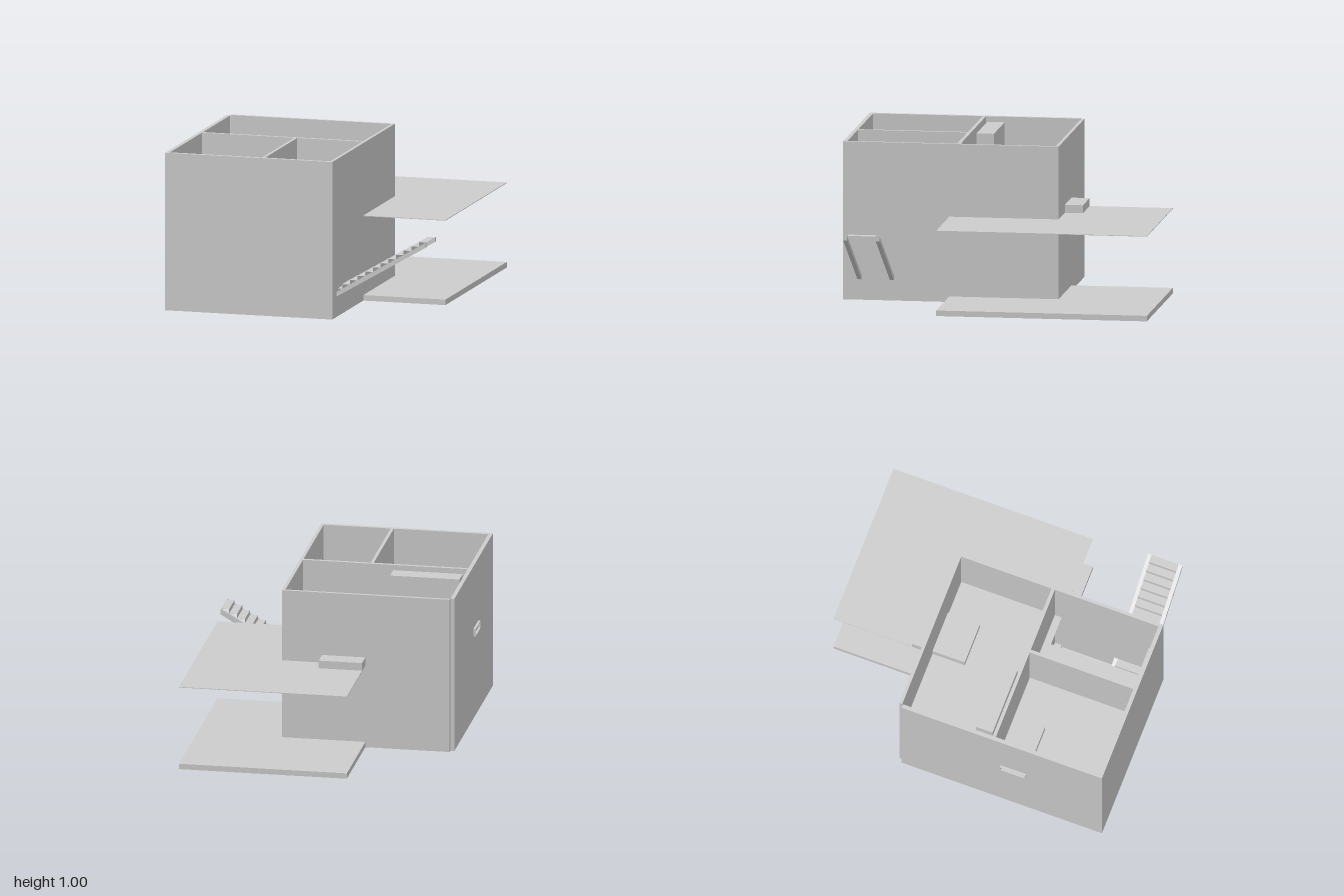
import * as THREE from 'three';

export function createModel() {
  const model = new THREE.Group();
  model.name = 'house';
  const plaster = new THREE.MeshStandardMaterial({ color: 0xcccccc, side: THREE.DoubleSide });
  plaster.name = 'light grey';

  const add = (name, geometry) => {
    const mesh = new THREE.Mesh(geometry, plaster);
    mesh.name = name;
    model.add(mesh);
    return mesh;
  };
  // Box given by its limits on each axis
  const box = (name, x0, x1, y0, y1, z0, z1) =>
    add(name, new THREE.BoxGeometry(x1 - x0, y1 - y0, z1 - z0))
      .position.set((x0 + x1) / 2, (y0 + y1) / 2, (z0 + z1) / 2);

  // Outer walls, leaving a notch in the back left corner
  box('frontWall', -0.83, 0.26, 0, 1, 0.975, 1);
  box('leftWall', -0.83, -0.805, 0, 1, -0.335, 0.975);
  box('backWall', -0.805, 0.26, 0, 1, -0.36, -0.34);
  box('rightWall', 0.24, 0.26, 0, 1, -0.34, 0.975);

  // Inner partitions
  box('crossPartition', -0.805, 0.24, 0, 1, 0.262, 0.284);
  box('frontPartition', -0.205, -0.185, 0, 1, 0.284, 0.975);

  // Ground slab and the terrace above it
  box('groundSlab', -0.27, 0.795, 0, 0.035, -1, 0.33);
  box('terrace', -0.27, 0.795, 0.536, 0.54, -1, 0.33);

  // Upper floor with the stair opening
  const floor = new THREE.Shape([
    [-0.805, -0.34], [-0.27, -0.34], [-0.27, 0.33], [0.05, 0.33],
    [0.05, 0.91], [0.24, 0.91], [0.24, 0.975], [-0.805, 0.975],
  ].map(([x, z]) => new THREE.Vector2(x, z)));
  const floorGeometry = new THREE.ExtrudeGeometry(floor, { depth: 0.004, bevelEnabled: false });
  floorGeometry.rotateX(Math.PI / 2).translate(0, 0.54, 0);
  add('upperFloor', floorGeometry);

  // Stair stringers
  const x0 = 0.04, y0 = 0.03, run = 0.05, rise = 0.0294, steps = 16;
  const x1 = x0 + run * steps, y1 = y0 + rise * steps;
  const side = new THREE.Shape([
    new THREE.Vector2(x0, y0 - 0.03), new THREE.Vector2(x1, y1 - 0.03),
    new THREE.Vector2(x1, y1), new THREE.Vector2(x0, y0),
  ]);
  for (const z of [0.68, 0.885]) {
    const geometry = new THREE.ExtrudeGeometry(side, { depth: 0.025, bevelEnabled: false });
    add('stairStringer', geometry.translate(0, 0, z));
  }

  // Thin risers and treads
  for (let i = 0; i < steps; i++) {
    const x = x0 + i * run, y = y0 + i * rise;
    box('stairRiser', x, x + 0.001, y, y + rise, 0.705, 0.885);
    box('stairTread', x, x + run, y + rise - 0.001, y + rise, 0.705, 0.885);
  }

  // Low beds reaching through the walls
  box('backBed', -0.27, 0.005, 0.54, 0.59, -0.475, -0.125);
  box('leftBed', -0.828, -0.5, 0.545, 0.585, 0.33, 0.49);
  box('leftBedFrame', -0.845, -0.5, 0.54, 0.545, 0.325, 0.495);
  box('leftBedFrame', -0.845, -0.5, 0.585, 0.59, 0.325, 0.495);
  for (const z of [0.325, 0.49]) box('leftBedFrame', -0.845, -0.5, 0.545, 0.585, z, z + 0.005);

  // Wardrobe upstairs and a wall counter downstairs
  box('wardrobe', -0.775, -0.335, 0.54, 0.97, 0.14, 0.25);
  box('counter', -0.805, -0.5, 0.28, 0.32, 0.04, 0.262);

  return model;
}
